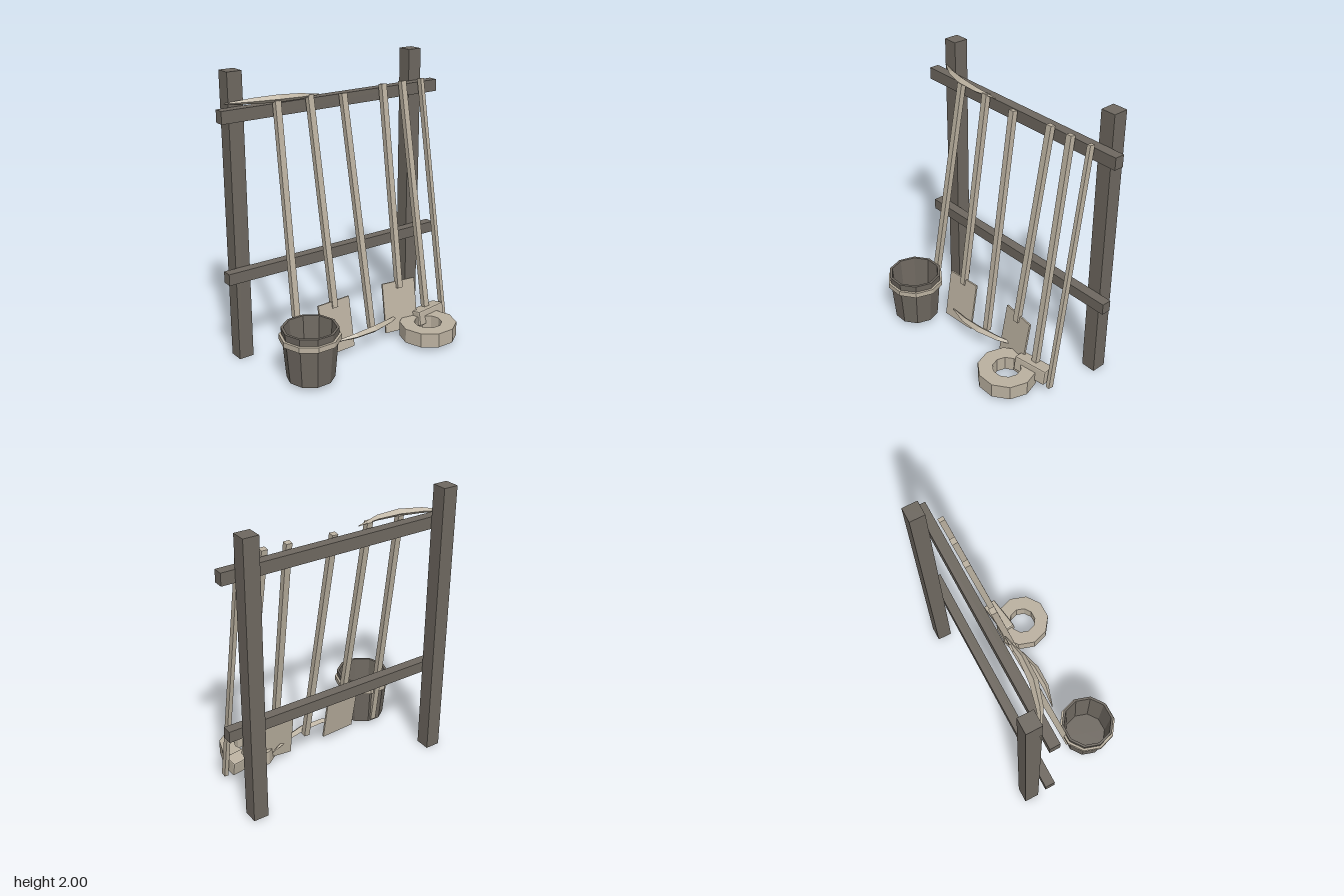
import * as THREE from 'three';
import { RoundedBoxGeometry } from 'three/addons/geometries/RoundedBoxGeometry.js';

export function createModel() {
  const model = new THREE.Group();
  const darkWood = new THREE.MeshStandardMaterial({ color: 0x6e6860, flatShading: true });
  darkWood.name = 'darkWood';
  const paleWood = new THREE.MeshStandardMaterial({ color: 0xbbb1a0, flatShading: true });
  paleWood.name = 'paleWood';

  const add = (name, geometry, material, x = 0, y = 0, z = 0) => {
    const mesh = new THREE.Mesh(geometry, material);
    mesh.name = name;
    mesh.position.set(x, y, z);
    model.add(mesh);
    return mesh;
  };
  const box = (w, h, d) => new THREE.BoxGeometry(w, h, d);

  // Rack: two posts behind two rails
  add('rightPost', box(0.107, 2, 0.107), darkWood, -0.735, 1, -0.365);
  add('leftPost', box(0.107, 2, 0.107), darkWood, 0.73, 1, -0.365);
  add('upperRail', box(1.755, 0.085, 0.07), darkWood, 0, 1.733, -0.276);
  add('lowerRail', box(1.755, 0.08, 0.07), darkWood, 0, 0.64, -0.276);

  // Leaning square handles; all share the same slope towards the rack
  const lean = (y) => -0.212 + (1.81 - y) * 0.162;
  const handle = (name, xTop, yTop, xBottom, yBottom, width = 0.043) => {
    const top = new THREE.Vector3(xTop, yTop, lean(yTop));
    const bottom = new THREE.Vector3(xBottom, yBottom, lean(yBottom));
    const dir = top.clone().sub(bottom);
    const mesh = add(name, box(width, dir.length(), 0.04), paleWood);
    mesh.position.copy(top).add(bottom).multiplyScalar(0.5);
    mesh.quaternion.setFromUnitVectors(new THREE.Vector3(0, 1, 0), dir.normalize());
  };
  handle('raisedPickHandle', -0.493, 1.8, -0.54, 0.05);
  handle('rightShovelHandle', -0.243, 1.808, -0.224, 0.365);
  handle('loweredPickHandle', 0.023, 1.785, 0.07, 0.14);
  handle('leftShovelHandle', 0.362, 1.808, 0.344, 0.365);
  handle('hammerHandle', 0.535, 1.808, 0.572, 0.12);
  handle('pole', 0.703, 1.808, 0.73, 0.05, 0.028);

  // Pick heads: a four-sided bar, tapered to the tips and bowed forward
  const pickHead = (name, x, y, z, skew) => {
    const g = new THREE.CylinderGeometry(1, 1, 2, 4, 4).rotateZ(-Math.PI / 2);
    const p = g.attributes.position;
    for (let i = 0; i < p.count; i++) {
      const t = p.getX(i);
      const r = 0.004 + 0.026 * (1 - t * t);
      p.setXYZ(i, t * 0.325,
        p.getY(i) * r * 0.85 - 0.016 * t * t,
        p.getZ(i) * r - 0.07 * t * t + skew * t);
    }
    g.computeVertexNormals();
    add(name, g, paleWood, x, y, z);
  };
  pickHead('raisedPickHead', -0.485, 1.814, -0.205, 0.055);
  pickHead('loweredPickHead', 0.055, 0.155, 0.115, -0.045);

  // Shovel blades
  const blade = (name, x, z, yaw) => {
    const mesh = add(name, box(0.266, 0.365, 0.014), paleWood, x, 0.231, z);
    mesh.rotation.set(-0.17, yaw, 0, 'YXZ');
  };
  blade('rightShovelBlade', -0.225, 0.048, 0.06);
  blade('leftShovelBlade', 0.343, 0.038, -0.13);

  // Hammer head with chamfered edges
  const hammer = add('hammerHead', new RoundedBoxGeometry(0.26, 0.108, 0.1, 1, 0.01), paleWood, 0.572, 0.117, 0.075);
  hammer.rotation.set(-0.16, 0.15, 0, 'YXZ');

  // Ten-sided turned parts: bucket, its band and the grinding ring
  const turned = (name, profile, material, x) => {
    const points = profile.map(([r, y]) => new THREE.Vector2(r, y));
    add(name, new THREE.LatheGeometry(points, 10, Math.PI / 2), material, x, 0, 0.22);
  };
  turned('bucket', [[0, 0.03], [0.162, 0.03], [0.193, 0.39], [0.175, 0.39], [0.152, 0.06], [0, 0.06]], darkWood, -0.552);
  turned('bucketBand', [[0.18, 0.302], [0.206, 0.302], [0.206, 0.34], [0.18, 0.34]], paleWood, -0.552);
  turned('grindingRing', [[0.1, 0.03], [0.205, 0.03], [0.205, 0.135], [0.1, 0.135], [0.1, 0.03]], paleWood, 0.46);

  return model;
}
